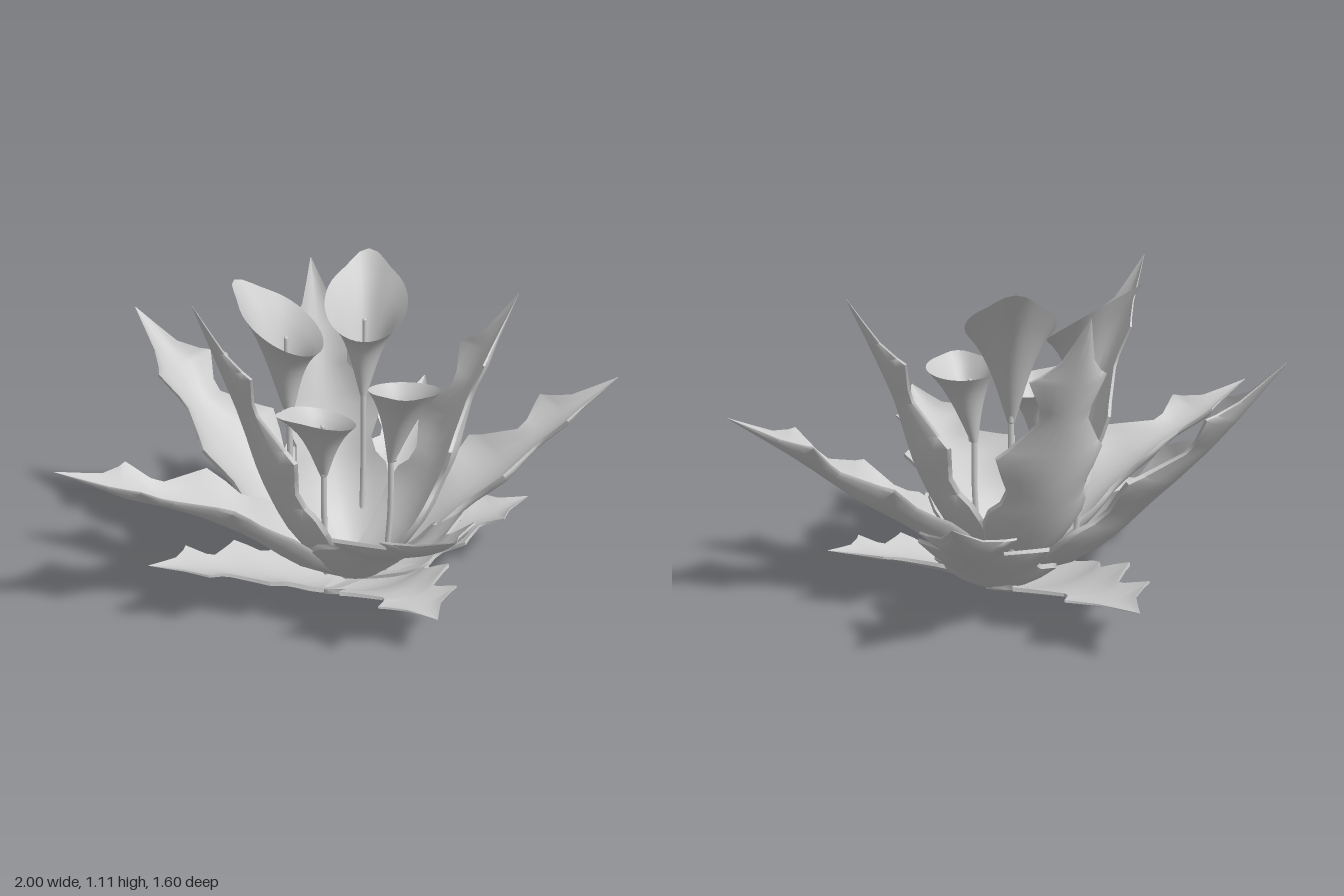
import * as THREE from 'three';
import { toCreasedNormals } from 'three/addons/utils/BufferGeometryUtils.js';

const material = new THREE.MeshStandardMaterial({ color: 0xcccccc, side: THREE.DoubleSide });
const HEART = new THREE.Vector3(0.03, 0.02, 0.03);

// Half width of a barbed leaf along its length: [t, width]
const OUTLINE = [[0, 0.08], [0.1, 0.135], [0.2, 0.195], [0.28, 0.225], [0.34, 0.22], [0.38, 0.185], [0.43, 0.175],
  [0.48, 0.205], [0.54, 0.235], [0.575, 0.195], [0.67, 0.105], [0.71, 0.11], [0.79, 0.165], [0.81, 0.13],
  [0.86, 0.07], [0.93, 0.035], [1, 0.002]];

// Surface through closed loops of points, with both ends left open
function loft(rings, crease) {
  const n = rings[0].length;
  const position = rings.flat().flatMap((p) => [p.x, p.y, p.z]);
  const index = [];
  for (let i = 0; i < rings.length - 1; i++) {
    for (let j = 0; j < n; j++) {
      const a = i * n + j, b = i * n + (j + 1) % n;
      index.push(a, a + n, b, b, a + n, b + n);
    }
  }
  const geometry = new THREE.BufferGeometry();
  geometry.setAttribute('position', new THREE.Float32BufferAttribute(position, 3));
  geometry.setIndex(index);
  if (crease) return toCreasedNormals(geometry, crease);
  geometry.computeVertexNormals();
  return geometry;
}

// Thin cupped leaf; middle holds [fraction of reach, height] between heart and tip
function leaf(name, tip, middle, width, cup = 0.45) {
  const end = new THREE.Vector3(...tip);
  const points = middle.map(([f, y]) => HEART.clone().lerp(end, f).setY(y));
  const curve = new THREE.CatmullRomCurve3([HEART, ...points, end]);
  const side = new THREE.Vector3(end.z - HEART.z, 0, HEART.x - end.x).normalize();
  const rings = OUTLINE.map(([t, w]) => {
    const centre = curve.getPointAt(t);
    const normal = curve.getTangentAt(t).cross(side).normalize();
    const half = w * width, ring = [];
    const add = (v, depth) => ring.push(centre.clone().addScaledVector(side, v * half)
      .addScaledVector(normal, cup * half * v * v - depth));
    const thick = 0.018 * (1 - t * t) + 0.001;
    for (let k = 0; k <= 8; k++) add(k / 4 - 1, 0);
    for (let k = 8; k >= 0; k--) add(k / 4 - 1, thick);
    return ring;
  });
  const mesh = new THREE.Mesh(loft(rings, 0.9), material);
  mesh.name = name;
  return mesh;
}

// Funnel flower: flared, tilted rim drawn out to a point, on a slender stem
function flower(name, throat, rim, radius, pointAngle, tilt, reach) {
  const group = new THREE.Group();
  group.name = name;
  const base = new THREE.Vector3(...throat), centre = new THREE.Vector3(...rim);
  const rings = [];
  for (let i = 0; i <= 8; i++) {
    const v = i / 8, spread = 0.012 + (radius - 0.012) * (0.7 * v + 0.3 * v ** 4);
    const ring = [];
    for (let j = 0; j < 36; j++) {
      const a = j / 36 * Math.PI * 2, c = Math.cos(a);
      const pull = 1 + reach * Math.max(0, c) ** 14 * v ** 3;
      ring.push(base.clone().lerp(centre, v).add(new THREE.Vector3(
        Math.cos(a + pointAngle) * spread * pull,
        tilt * c * pull * v * v,
        Math.sin(a + pointAngle) * spread * pull)));
    }
    rings.push(ring);
  }
  const spathe = new THREE.Mesh(loft(rings), material);
  spathe.name = 'spathe';

  const foot = new THREE.Vector3(base.x * 0.9, 0.06, base.z * 0.9);
  const stemPath = new THREE.CatmullRomCurve3([foot, new THREE.Vector3(base.x, 0.3, base.z), base]);
  const stem = new THREE.Mesh(new THREE.TubeGeometry(stemPath, 8, 0.011, 8), material);
  stem.name = 'stem';

  const height = (centre.y - base.y) * 0.85;
  const spadix = new THREE.Mesh(new THREE.CapsuleGeometry(0.008, height - 0.016, 4, 8), material);
  spadix.name = 'spadix';
  spadix.position.copy(base).lerp(centre, 0.3).setY(base.y + height / 2);
  group.add(spathe, stem, spadix);
  return group;
}

export function createModel() {
  const model = new THREE.Group();
  model.name = 'floweringPlant';

  // Low outer leaves
  const low = [[0.25, 0.045], [0.55, 0.12]];
  model.add(
    leaf('lowLeafRight', [-0.73, 0.25, 0.15], [[0.22, 0.045], [0.55, 0.14]], 0.7, 0.25),
    leaf('lowLeafLeft', [0.71, 0.22, 0.01], [[0.22, 0.045], [0.55, 0.135]], 0.7, 0.25),
    leaf('lowLeafFront', [0.12, 0.15, 0.6], low, 0.9, 0.2),
    leaf('lowLeafBack', [0, 0.18, -0.8], low, 0.95, 0.2),
  );

  // Spreading middle leaves
  model.add(
    leaf('spreadingLeafRight', [-1, 0.6, 0.08], [[0.2, 0.12], [0.37, 0.26], [0.55, 0.38], [0.77, 0.475]], 0.74, 0.55),
    leaf('spreadingLeafLeft', [0.995, 0.69, 0.09], [[0.2, 0.11], [0.38, 0.25], [0.57, 0.375], [0.77, 0.53]], 0.76, 0.55),
    leaf('spreadingLeafFront', [0.09, 0.54, 0.8], [[0.15, 0.09], [0.28, 0.19], [0.45, 0.28], [0.78, 0.42]], 1, 0.4),
    leaf('spreadingLeafBack', [0.54, 0.48, -0.64], [[0.35, 0.09], [0.56, 0.21], [0.8, 0.34]], 0.92, 0.4),
  );

  // Upright inner leaves
  model.add(
    leaf('uprightLeafRight', [-0.53, 1.11, 0.08], [[0.35, 0.2], [0.56, 0.42], [0.72, 0.7]], 0.78),
    leaf('uprightLeafLeft', [0.59, 1.04, 0.08], [[0.33, 0.19], [0.56, 0.42], [0.72, 0.7]], 0.78),
    leaf('uprightLeafBack', [0.04, 1.04, -0.55], [[0.3, 0.15], [0.56, 0.38], [0.76, 0.68]], 0.82),
    leaf('uprightLeafBackRight', [-0.6, 0.87, -0.68], [[0.3, 0.14], [0.55, 0.37], [0.76, 0.58]], 0.94),
  );

  // Two tall flowers behind, two short ones in front
  model.add(
    flower('tallFlowerRight', [-0.17, 0.61, -0.11], [-0.19, 0.955, -0.12], 0.143, -2.3, 0.09, 0.32),
    flower('tallFlowerLeft', [0.12, 0.63, -0.165], [0.145, 0.965, -0.215], 0.147, -1.2, 0.1, 0.35),
    flower('shortFlowerRight', [-0.1, 0.45, 0.07], [-0.12, 0.68, 0.1], 0.12, 2.9, 0.03, 0.4),
    flower('shortFlowerLeft', [0.13, 0.49, 0.11], [0.165, 0.76, 0.135], 0.123, 1.9, 0.02, 0.25),
  );
  return model;
}
